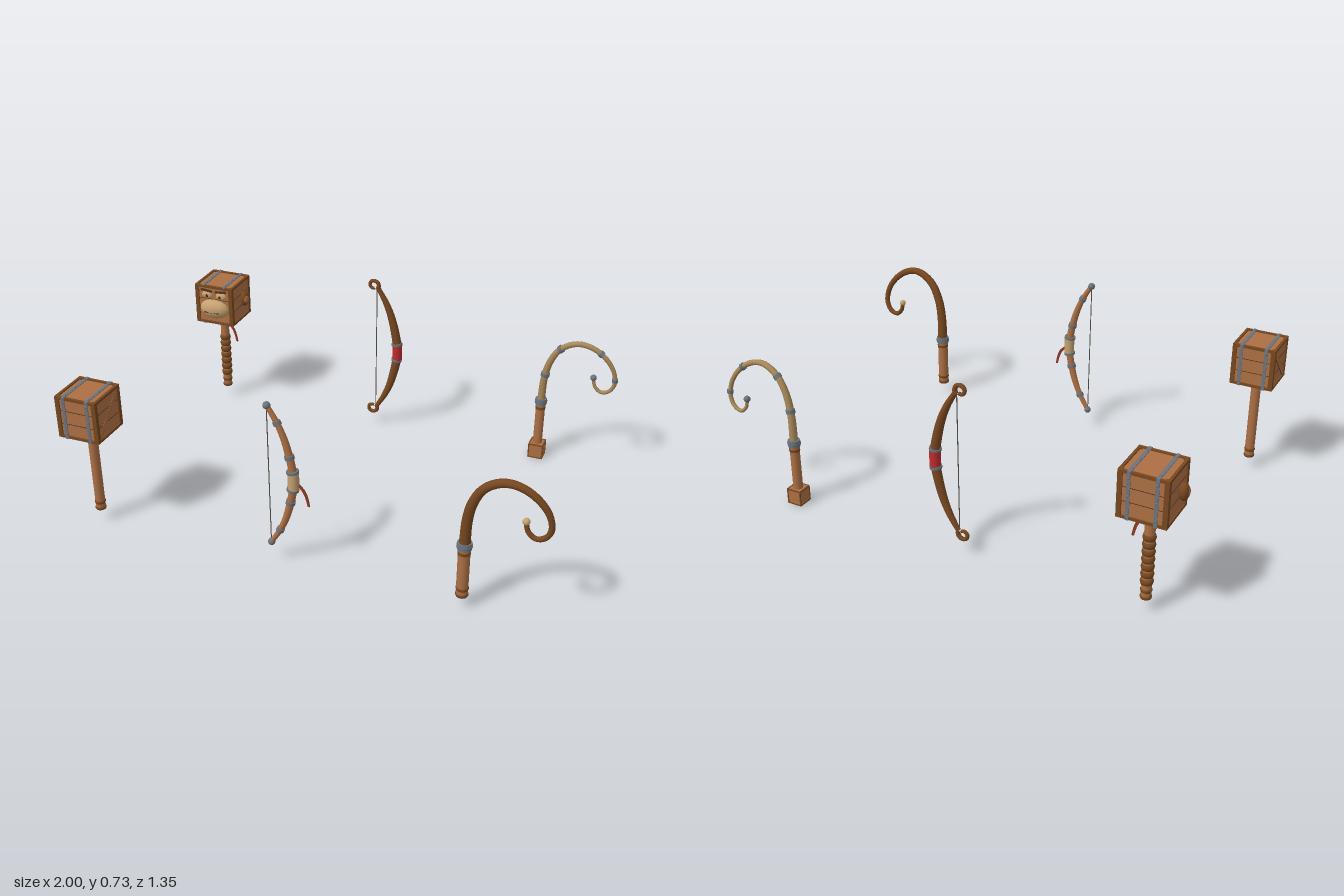
import * as THREE from 'three';

const mat = (name, color) => {
  const m = new THREE.MeshStandardMaterial({ color });
  m.name = name;
  return m;
};
const wood = mat('wood', 0xad7045);
const brown = mat('brown wood', 0x784820);
const dark = mat('dark wood', 0x54331a);
const metal = mat('metal', 0x6c747e);
const tan = mat('tan', 0xc6a270);
const horn = mat('horn', 0xa98a5a);
const red = mat('red cloth', 0xc02c2c);
const cord = mat('cord', 0x5a534c);

function add(parent, name, geometry, material, x = 0, y = 0, z = 0) {
  const m = new THREE.Mesh(geometry, material);
  m.name = name;
  m.position.set(x, y, z);
  parent.add(m);
  return m;
}
const box = (p, n, m, w, h, d, x, y, z) => add(p, n, new THREE.BoxGeometry(w, h, d), m, x, y, z);
const ball = (p, n, m, r, x, y, z) => add(p, n, new THREE.SphereGeometry(r, 14, 10), m, x, y, z);
const rod = (p, n, m, r, y0, y1, r1 = r) =>
  add(p, n, new THREE.CylinderGeometry(r1, r, y1 - y0, 14), m, 0, (y0 + y1) / 2, 0);
const curveOf = (pts) => new THREE.CatmullRomCurve3(pts.map((p) => new THREE.Vector3(p[0], p[1], p[2] || 0)));

// Rounded ring around an upright shaft
function roundRing(parent, name, material, r, tube, y, stretch) {
  const t = add(parent, name, new THREE.TorusGeometry(r, tube, 8, 16), material, 0, y, 0);
  t.rotation.x = Math.PI / 2;
  t.scale.z = stretch;
}

// Tube whose radius follows a rule along its length
function taper(parent, name, material, curve, radius, n = 48, sides = 10) {
  const g = new THREE.TubeGeometry(curve, n, 1, sides);
  const pos = g.attributes.position, v = new THREE.Vector3();
  for (let i = 0; i <= n; i++) {
    const c = curve.getPointAt(i / n), r = radius(i / n);
    for (let j = 0; j <= sides; j++) {
      const k = i * (sides + 1) + j;
      v.fromBufferAttribute(pos, k).sub(c).multiplyScalar(r).add(c);
      pos.setXYZ(k, v.x, v.y, v.z);
    }
  }
  add(parent, name, g, material);
}

// Short band around a curve at parameter t
function band(parent, name, material, curve, t, r, h) {
  const p = curve.getPointAt(t);
  const b = add(parent, name, new THREE.CylinderGeometry(r, r, h, 12), material, p.x, p.y, p.z);
  b.quaternion.setFromUnitVectors(new THREE.Vector3(0, 1, 0), curve.getTangentAt(t));
}

// Hanging strip: brown cord above, red cloth beneath
function tassel(parent, x, y) {
  [brown, red].forEach((m, i) => {
    const d = i * 0.004;
    const c = curveOf([[x, y - d], [x + 0.024 - d, y - 0.025 - d], [x + 0.036 - d, y - 0.055 - d], [x + 0.043 - d, y - 0.09]]);
    taper(parent, 'tassel', m, c, (t) => 0.004 - 0.001 * t, 12, 6);
  });
}

// Wooden mallet: framed block on a turned handle
function hammer(ornate) {
  const g = new THREE.Group();
  g.name = ornate ? 'facedHammer' : 'plainHammer';
  const h = ornate ? 0.094 : 0.09, c = h - 0.006;
  const head = new THREE.Group();
  head.name = 'head';
  head.position.y = 0.515;
  g.add(head);
  box(head, 'block', wood, 2 * c, 2 * c, 2 * c, 0, 0, 0);
  const post = 0.018, rail = 0.011;
  for (const i of [-1, 1]) for (const j of [-1, 1]) {
    const p = h - post / 2, r = h - rail / 2;
    box(head, 'framePost', brown, post, 2 * h, post, i * p, 0, j * p);
    box(head, 'frameRail', brown, 2 * h - 0.002, rail, rail, 0, i * r, j * r);
    box(head, 'frameRail', brown, rail, rail, 2 * h - 0.002, i * r, j * r, 0);
  }
  // plank seams and side braces
  for (const y of [-0.028, 0.028]) for (const s of [-1, 1]) {
    box(head, 'plankSeam', dark, 2 * c, 0.0025, 0.002, 0, y, s * c);
    box(head, 'plankSeam', dark, 0.002, 0.0025, 2 * c, s * c, y, 0);
  }
  if (!ornate) for (const s of [-1, 1]) {
    box(head, 'braceEdge', brown, 0.006, 0.024, 0.2, s * c, 0, 0).rotation.x = Math.PI / 4;
    box(head, 'brace', wood, 0.008, 0.019, 0.2, s * c, 0, 0).rotation.x = Math.PI / 4;
  }
  // riveted metal straps
  for (const x of [-0.052, 0.052]) for (const s of [-1, 1]) {
    const upright = !ornate || s < 0;
    box(head, 'strap', metal, 0.014, 0.003, 2 * h + 0.004, x, s * (h + 0.0005), 0);
    if (upright) box(head, 'strap', metal, 0.014, 2 * h, 0.003, x, 0, s * (h + 0.0005));
    for (const q of [-0.07, 0, 0.07]) {
      ball(head, 'rivet', metal, 0.0045, x, s * (h + 0.002), q);
      if (upright) ball(head, 'rivet', metal, 0.0045, x, q, s * (h + 0.002));
    }
  }
  // handle
  rod(g, 'handle', wood, 0.02, 0.055, 0.43);
  rod(g, 'handleCollar', metal, 0.024, 0.4, 0.43, 0.031);
  for (const y of [0.061, 0.09]) roundRing(g, 'pommelRing', brown, 0.014, 0.009, y, 1);
  if (ornate) {
    for (let i = 0; i < 7; i++) roundRing(g, 'gripWrap', brown, 0.0155, 0.01, 0.128 + i * 0.031, 1.5);
    // animal face: muzzle, eyes, brows and ears
    ball(head, 'muzzle', tan, 1, 0, -0.018, c).scale.set(0.073, 0.046, 0.038);
    box(head, 'mouth', dark, 0.075, 0.004, 0.004, 0, -0.026, c + 0.034);
    for (const s of [-1, 1]) {
      ball(head, 'eye', tan, 1, s * 0.036, 0.047, c).scale.set(0.027, 0.019, 0.012);
      ball(head, 'pupil', dark, 1, s * 0.033, 0.046, c + 0.008).scale.set(0.008, 0.009, 0.006);
      box(head, 'brow', dark, 0.055, 0.008, 0.012, s * 0.036, 0.07, c + 0.003).rotation.z = s * 0.1;
      ball(head, 'ear', brown, 1, s * 0.112, 0.015, 0).scale.set(0.02, 0.035, 0.023);
      ball(head, 'innerEar', wood, 1, s * 0.117, 0.015, 0.003).scale.set(0.0165, 0.026, 0.018);
    }
    tassel(g, 0.022, 0.39);
  }
  return g;
}

// Bow bent towards -x, strung between its tips
function bow(curled) {
  const g = new THREE.Group();
  g.name = curled ? 'curledBow' : 'bandedBow';
  const half = [[0.005, 0], [0, 0.055], [-0.026, 0.165], [-0.053, 0.232], [-0.09, 0.296]];
  const pts = [...half.slice(1).reverse().map(([x, y]) => [x, 0.392 - y]), ...half.map(([x, y]) => [x, 0.392 + y])];
  const curve = curveOf(pts);
  taper(g, 'limbs', curled ? brown : wood, curve, (t) => 0.01 + (curled ? 0.01 : 0.006) * Math.sin(Math.PI * t));
  band(g, 'grip', curled ? red : tan, curve, 0.5, 0.022, 0.072);
  for (const s of [-1, 1]) {
    band(g, 'gripRing', metal, curve, 0.5 + s * 0.062, 0.0245, 0.01);
    if (curled) {
      // spiral tip
      const spiral = [];
      for (let i = 0; i <= 12; i++) {
        const a = -0.75 + i * 0.5, r = 0.025 - i * 0.0009;
        spiral.push([-0.112 + r * Math.cos(a), 0.392 + s * (0.309 + r * Math.sin(a))]);
      }
      taper(g, 'curlTip', brown, curveOf(spiral), (t) => 0.01 - 0.003 * t, 32, 8);
    } else {
      for (const d of [0.16, 0.39]) band(g, 'limbRing', metal, curve, 0.5 + s * d, d < 0.2 ? 0.019 : 0.016, 0.016);
      ball(g, 'tipCap', metal, 0.015, -0.095, 0.392 + s * 0.303, 0);
    }
  }
  const string = rod(g, 'bowString', cord, 0.002, 0.1, 0.684);
  string.position.x = -0.096;
  if (!curled) tassel(g, 0.025, 0.38);
  return g;
}

// Crook-topped staff
function cane(ornate) {
  const g = new THREE.Group();
  g.name = ornate ? 'ringedCane' : 'plainCane';
  const r = ornate ? 0.02 : 0.023;
  rod(g, 'shaft', wood, r, 0.05, 0.27);
  rod(g, 'collar', metal, r + 0.005, 0.262, 0.29);
  rod(g, 'collarRim', metal, r + 0.007, 0.27, 0.281);
  rod(g, 'shaftRing', brown, r + 0.002, 0.24, 0.252);
  const hook = curveOf([
    [0, 0.28], [0.006, 0.39, 0.006], [0.023, 0.47, 0.012], [0.059, 0.54, 0.018], [0.107, 0.578, 0.022],
    [0.155, 0.59, 0.023], [0.213, 0.574, 0.019], [0.267, 0.53, 0.012], [0.299, 0.475, 0.004],
    [0.306, 0.415, -0.003], [0.285, 0.376, -0.008], [0.252, 0.364, -0.01], [0.224, 0.386, -0.01], [0.214, 0.42, -0.01]]);
  const rad = (t) => (ornate ? 0.017 - 0.01 * t : 0.022 - 0.013 * t);
  taper(g, 'crook', ornate ? horn : brown, hook, rad, 72);
  ball(g, 'crookKnob', ornate ? metal : tan, 0.014, 0.214, 0.427, -0.01);
  if (ornate) {
    for (const t of [0.17, 0.36, 0.6, 0.78]) band(g, 'crookRing', metal, hook, t, rad(t) + 0.004, 0.016);
    // block foot with edge trim
    box(g, 'footBlock', wood, 0.062, 0.066, 0.062, 0, 0.034, 0);
    for (const i of [-1, 1]) for (const j of [-1, 1]) {
      box(g, 'footTrim', brown, 0.005, 0.068, 0.005, i * 0.0305, 0.034, j * 0.0305);
      box(g, 'footTrim', brown, 0.066, 0.005, 0.005, 0, 0.034 + i * 0.0315, j * 0.0305);
      box(g, 'footTrim', brown, 0.005, 0.005, 0.066, i * 0.0305, 0.034 + j * 0.0315, 0);
    }
  } else {
    for (const y of [0.057, 0.085]) roundRing(g, 'footRing', brown, 0.016, 0.0095, y, 1);
  }
  return g;
}

export function createModel() {
  const model = new THREE.Group();
  model.name = 'weaponSet';
  const place = (g, x, z) => {
    g.position.set(x, 0, z);
    model.add(g);
  };
  place(hammer(false), -0.867, 0.581);
  place(hammer(true), -0.867, -0.577);
  place(bow(false), 0, 0.579);
  place(bow(true), 0, -0.577);
  place(cane(false), 0.677, 0.579);
  place(cane(true), 0.677, -0.577);
  return model;
}
